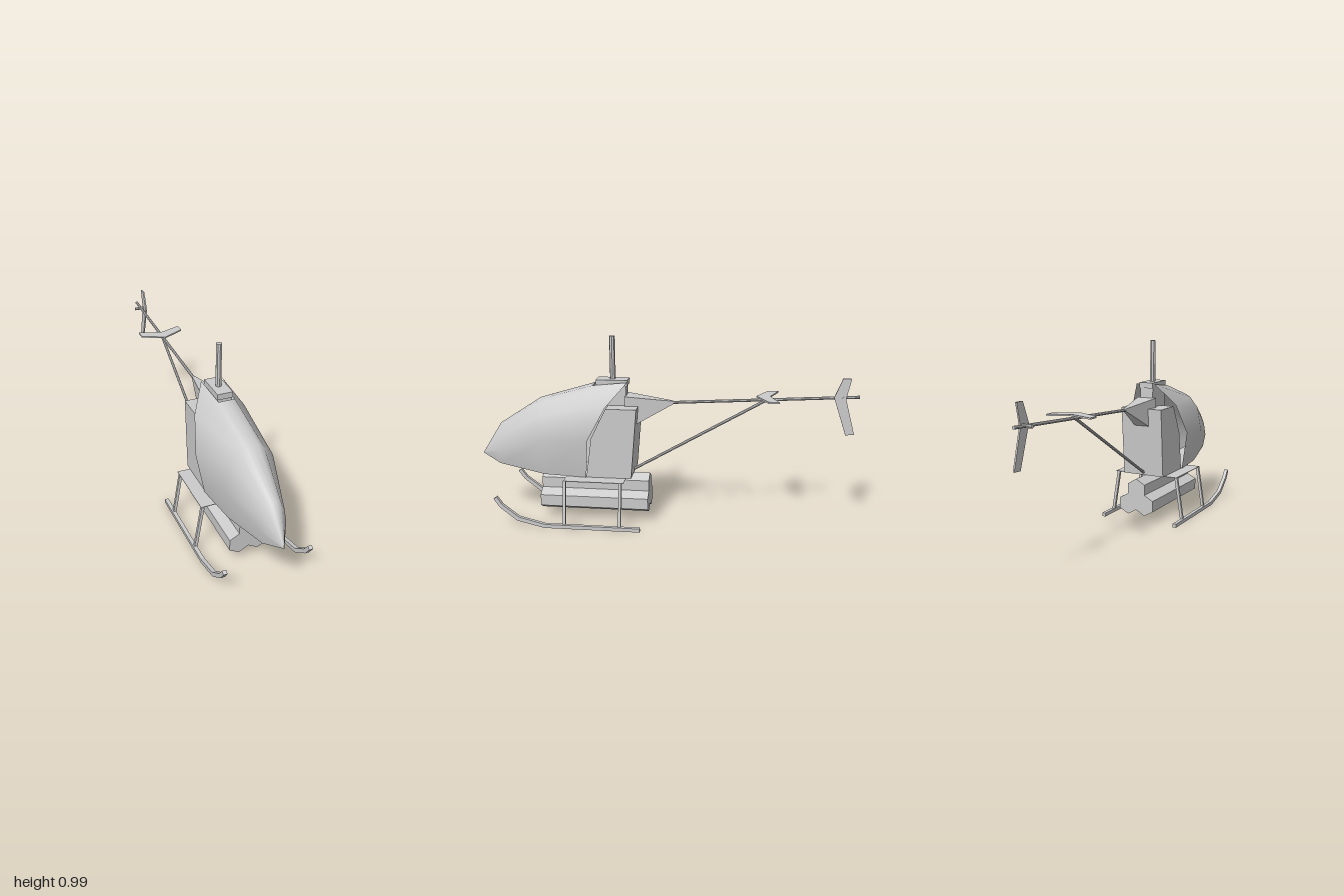
import * as THREE from 'three';

const flat = new THREE.MeshStandardMaterial({ color: 0xcccccc, flatShading: true });
const smooth = new THREE.MeshStandardMaterial({ color: 0xcccccc, side: THREE.DoubleSide });

// Surface through rows of points; each row has the same count
function skin(rows) {
  const n = rows[0].length, index = [];
  for (let i = 0; i < rows.length - 1; i++) {
    for (let j = 0; j < n - 1; j++) {
      const a = i * n + j, b = a + 1, c = a + n, d = c + 1;
      index.push(a, b, c, b, d, c);
    }
  }
  const geo = new THREE.BufferGeometry();
  geo.setAttribute('position', new THREE.Float32BufferAttribute(rows.flat(2), 3));
  geo.setIndex(index);
  geo.computeVertexNormals();
  return geo;
}

function extrude(points, depth) {
  const shape = new THREE.Shape(points.map(([x, y]) => new THREE.Vector2(x, y)));
  return new THREE.ExtrudeGeometry(shape, { depth, bevelEnabled: false });
}

// Side outline given as [z, y], extruded across x and centred on cx
function sideExtrude(points, width, cx = 0) {
  return extrude(points, width).rotateY(-Math.PI / 2).translate(cx + width / 2, 0, 0);
}

// Straight bar between two points
function bar(a, b, radius, sides = 8) {
  const p = new THREE.Vector3(...a), q = new THREE.Vector3(...b);
  const dir = q.clone().sub(p), mid = p.clone().add(q).multiplyScalar(0.5);
  const geo = new THREE.CylinderGeometry(radius, radius, dir.length(), sides);
  if (sides === 4) geo.rotateY(Math.PI / 4);
  geo.applyQuaternion(new THREE.Quaternion().setFromUnitVectors(new THREE.Vector3(0, 1, 0), dir.normalize()));
  return geo.translate(mid.x, mid.y, mid.z);
}

export function createModel() {
  const model = new THREE.Group();
  const add = (name, geo, mat = flat) => {
    const mesh = new THREE.Mesh(geo, mat);
    mesh.name = name;
    model.add(mesh);
    return mesh;
  };

  // Canopy: half sections from lower edge to crown, mirrored, nose to rear opening
  const halves = [
    Array(6).fill([0, 0.33, 1]),
    [[0.05, 0.29, 0.89], [0.07, 0.37, 0.88], [0.058, 0.44, 0.88], [0.035, 0.485, 0.89], [0.015, 0.5, 0.89], [0, 0.505, 0.89]],
    [[0.1, 0.255, 0.63], [0.135, 0.44, 0.65], [0.11, 0.575, 0.65], [0.06, 0.635, 0.655], [0.03, 0.65, 0.66], [0, 0.655, 0.66]],
    [[0.125, 0.255, 0.4], [0.163, 0.47, 0.38], [0.132, 0.64, 0.29], [0.055, 0.758, 0.185], [0.042, 0.735, 0.37], [0, 0.735, 0.37]],
  ];
  const mirror = ([x, y, z]) => [-x, y, z];
  const rings = halves.map(h => [...h.map(mirror), ...h.slice(0, -1).reverse()]);
  add('canopy', skin(rings), smooth);
  add('canopyFloor', skin(halves.map(h => [h[0], mirror(h[0])])), smooth);

  // Cabin rear, pylon and mast
  add('cabinRear', sideExtrude([[0.4, 0.255], [0.16, 0.255], [0.13, 0.63], [0.29, 0.63], [0.37, 0.47]], 0.24));
  add('pylon', new THREE.BoxGeometry(0.076, 0.24, 0.15).translate(0, 0.62, 0.27));
  add('mastBase', new THREE.BoxGeometry(0.08, 0.03, 0.165).translate(0, 0.75, 0.27));
  add('mast', bar([0, 0.75, 0.27], [0, 0.99, 0.27], 0.015));

  // Fairing tapering into the tail boom
  const section = (w, y0, y1, z0, z1) => [[-w, y0, z0], [-w, y1, z1], [w, y1, z1], [w, y0, z0], [-w, y0, z0]];
  const fairing = skin([section(0.055, 0.5, 0.682, 0.2, 0.2), section(0.008, 0.638, 0.654, -0.05, -0.05)]);
  add('tailFairing', fairing.toNonIndexed(), new THREE.MeshStandardMaterial({
    color: 0xcccccc, flatShading: true, side: THREE.DoubleSide,
  }));
  add('tailBoom', bar([0, 0.64, 0.05], [0, 0.702, -1], 0.008));
  add('tailBrace', bar([0, 0.265, 0.17], [0, 0.672, -0.53], 0.008));

  // Swept stabilizer, outline as [x, -z]
  const stabilizer = extrude([[0, 0.48], [0.12, 0.54], [0.12, 0.595], [0, 0.55], [-0.12, 0.595], [-0.12, 0.54]], 0.008);
  add('stabilizer', stabilizer.rotateX(-Math.PI / 2).translate(0, 0.685, 0));

  // Tail rotor and its axle
  add('tailRotor', sideExtrude([[-0.87, 0.7], [-0.909, 0.8], [-0.952, 0.8], [-0.93, 0.695], [-0.982, 0.508], [-0.938, 0.505]], 0.008, 0.02));
  add('tailRotorAxle', bar([-0.036, 0.697, -0.917], [0.026, 0.697, -0.917], 0.009));

  // Three-lobed pod made of joined hexagons
  const lobe = [[0.05, 0.047], [0.1, 0.075], [0.1, 0.135], [0.05, 0.163], [0.05, 0.22]];
  const outline = [[0, 0.075], ...lobe, [0, 0.25], ...lobe.map(([x, y]) => [-x, y]).reverse()];
  add('pod', extrude(outline, 0.585).translate(0, 0, 0.075));

  // Thin plate carrying the landing gear
  add('gearPlate', new THREE.BoxGeometry(0.375, 0.003, 0.32).translate(0, 0.251, 0.35));

  // Skids with upturned toes, and splayed struts
  const skid = [[0.1, 0], [0.61, 0], [0.755, 0.035], [0.845, 0.105], [0.877, 0.152],
    [0.86, 0.163], [0.83, 0.12], [0.745, 0.055], [0.605, 0.02], [0.1, 0.02]];
  for (const [side, s] of [['left', 1], ['right', -1]]) {
    add(side + 'Skid', sideExtrude(skid, 0.02, s * 0.22));
    for (const [end, z] of [['Front', 0.505], ['Rear', 0.21]]) {
      add(side + end + 'Strut', bar([s * 0.178, 0.25, z], [s * 0.216, 0.01, z], 0.011, 4));
    }
  }
  return model;
}
